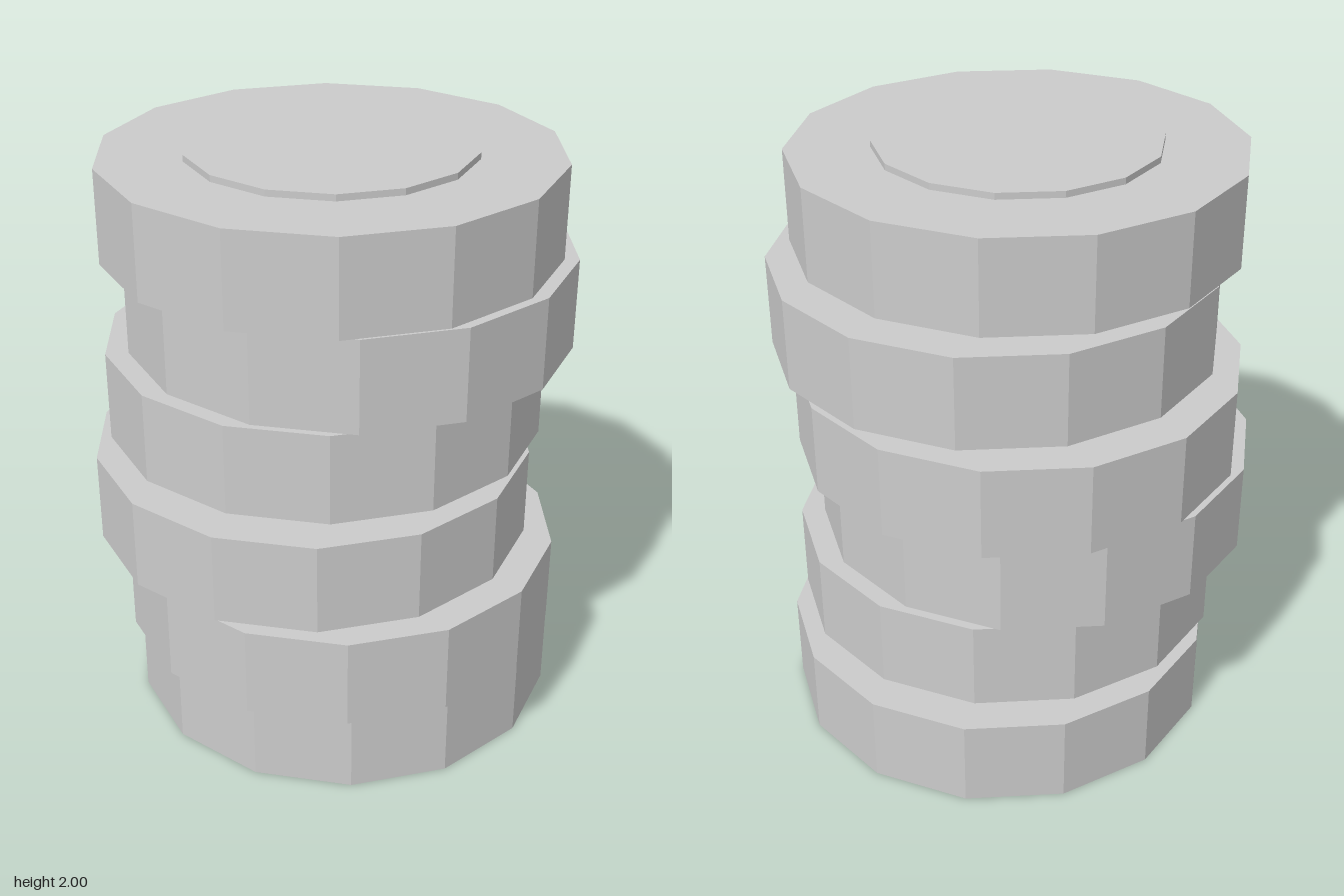
import * as THREE from 'three';

const SIDES = 14;
const PITCH = 0.335;        // height step from one disc to the next
const BODY_HEIGHT = 0.304;
const DISC_HEIGHT = 0.325;  // body plus raised centre

// Sideways offset (x, z) of each disc, bottom to top
const OFFSETS = [
  [-0.005, -0.062],
  [0.057, 0.01],
  [-0.023, 0.065],
  [-0.065, -0.022],
  [0.028, -0.053],
  [0.045, 0.04],
];

export function createModel() {
  const model = new THREE.Group();
  model.name = 'discStack';
  const material = new THREE.MeshStandardMaterial({ color: 0xcccccc, flatShading: true });

  // Faceted cylinder standing between two heights
  const prism = (name, radius, bottom, top) => {
    const geometry = new THREE.CylinderGeometry(radius, radius, top - bottom, SIDES);
    geometry.translate(0, (bottom + top) / 2, 0);
    const mesh = new THREE.Mesh(geometry, material);
    mesh.name = name;
    return mesh;
  };

  // Loosely stacked discs, each with a raised centre on top
  OFFSETS.forEach(([x, z], i) => {
    const disc = new THREE.Group();
    disc.name = `disc${i + 1}`;
    disc.add(
      prism('discBody', 0.733, 0, BODY_HEIGHT),
      prism('raisedCentre', 0.461, BODY_HEIGHT - 0.02, DISC_HEIGHT),
    );
    disc.position.set(x, i * PITCH, z);
    model.add(disc);
  });

  return model;
}
